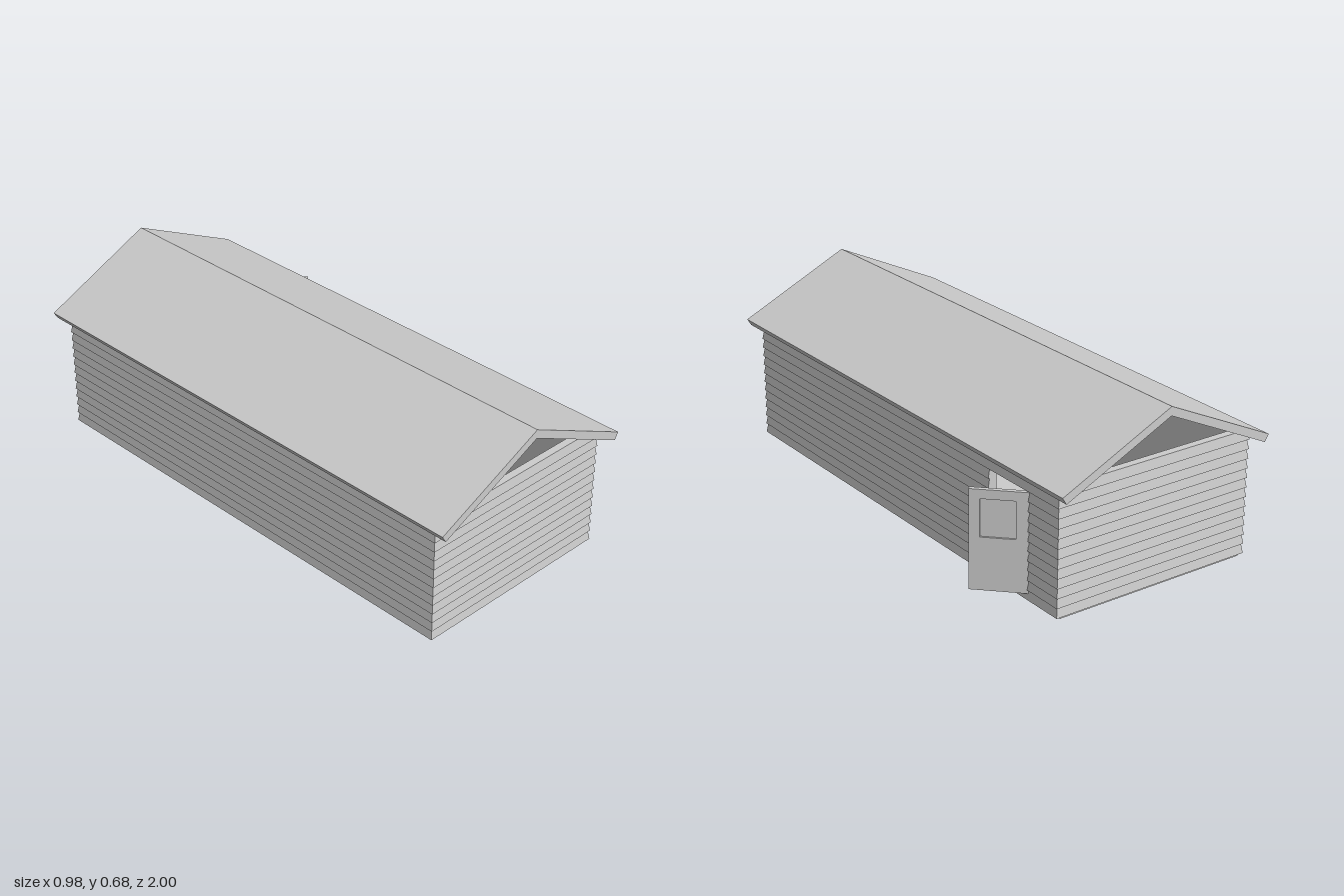
import * as THREE from 'three';

const CX = -0.0535, HALF_X = 0.4065, HALF_Z = 0.941; // outer wall footprint
const BASE = 0.008, TOP = 0.472, BOARDS = 13;
const THICK = 0.035, LAP = 0.006;
const DOOR = { z0: -0.781, z1: -0.561, y0: 0.03, y1: 0.4 };

const material = new THREE.MeshStandardMaterial({ color: 0xcccccc, flatShading: true });

function add(parent, name, geometry) {
  const mesh = new THREE.Mesh(geometry, material);
  mesh.name = name;
  parent.add(mesh);
  return mesh;
}

function polygon(points) {
  return new THREE.Shape(points.map(([x, y]) => new THREE.Vector2(x, y)));
}

function extrude(shape, depth) {
  return new THREE.ExtrudeGeometry(shape, { depth, bevelEnabled: false });
}

// Lapped-board cross-section between two heights; x = 0 is the outermost face
function sidingSection(y0, y1) {
  const pitch = (TOP - BASE) / BOARDS;
  const points = [];
  for (let i = 0; i < BOARDS; i++) {
    const bottom = BASE + i * pitch;
    const lo = Math.max(y0, bottom), hi = Math.min(y1, bottom + pitch);
    if (hi - lo < 1e-5) continue;
    for (const y of [lo, hi]) points.push([-LAP * (y - bottom) / pitch, y]);
  }
  points.push([-THICK, y1], [-THICK, y0]);
  return polygon(points);
}

// Wall section running from a to b, facing +x; ends at the corners are mitred
function sidingWall(a, b, halfLength, offset, y0 = BASE, y1 = TOP) {
  const geometry = extrude(sidingSection(y0, y1), b - a).translate(0, 0, a);
  const p = geometry.attributes.position;
  for (let i = 0; i < p.count; i++) {
    const z = p.getZ(i);
    if (Math.abs(Math.abs(z) - halfLength) < 1e-5) p.setZ(i, z + Math.sign(z) * p.getX(i));
  }
  geometry.translate(offset, 0, 0);
  geometry.computeVertexNormals();
  return geometry;
}

function buildWalls() {
  const walls = new THREE.Group();
  walls.name = 'walls';
  walls.position.x = CX;

  // Closed walls
  add(walls, 'frontWall', sidingWall(-HALF_X, HALF_X, HALF_X, HALF_Z)).rotation.y = -Math.PI / 2;
  add(walls, 'backWall', sidingWall(-HALF_X, HALF_X, HALF_X, HALF_Z)).rotation.y = Math.PI / 2;
  add(walls, 'rightWall', sidingWall(-HALF_Z, HALF_Z, HALF_Z, HALF_X)).rotation.y = Math.PI;

  // Wall with the doorway
  const left = new THREE.Group();
  left.name = 'leftWall';
  walls.add(left);
  const part = (name, a, b, y0, y1) => add(left, name, sidingWall(a, b, HALF_Z, HALF_X, y0, y1));
  part('wallBehindDoor', -HALF_Z, DOOR.z0);
  part('wallAheadOfDoor', DOOR.z1, HALF_Z);
  part('doorSill', DOOR.z0, DOOR.z1, BASE, DOOR.y0);
  part('doorLintel', DOOR.z0, DOOR.z1, DOOR.y1, TOP);
  return walls;
}

// Door hinged at its back edge, standing open, with a recessed panel outside
function buildDoor() {
  const door = new THREE.Group();
  door.name = 'door';
  const width = 0.2, thick = 0.016, recess = 0.007;
  const height = 0.397 - DOOR.y0;

  const rect = (x0, y0, x1, y1) => [[x0, y0], [x1, y0], [x1, y1], [x0, y1]];
  const face = polygon(rect(-width, 0, 0, height));
  face.holes.push(polygon(rect(-0.163, 0.195, -0.043, 0.333)));
  // Extruded along z, then turned so the outside faces +x and the width runs along +z
  const leaf = extrude(face, recess).translate(0, 0, -recess).rotateY(Math.PI / 2);
  add(door, 'doorFace', leaf);
  add(door, 'doorBack', new THREE.BoxGeometry(thick - recess, height, width)
    .translate(-(thick + recess) / 2, height / 2, width / 2));

  door.position.set(0.349, DOOR.y0, -0.783);
  door.rotation.y = Math.PI / 4;
  return door;
}

// Two pitched slopes of even thickness, open at both gables
function buildRoof() {
  const section = polygon([
    [0, 0.675], [-0.437, 0.47], [-0.421, 0.444],
    [0, 0.642], [0.421, 0.444], [0.437, 0.47],
  ]);
  return extrude(section, 2).translate(-0.053, 0, -1);
}

export function createModel() {
  const model = new THREE.Group();
  model.name = 'cabin';

  add(model, 'floor', new THREE.BoxGeometry(0.775, 0.03, 1.84)).position.set(CX, 0.015, -0.015);
  model.add(buildWalls(), buildDoor());
  add(model, 'roof', buildRoof());
  return model;
}
